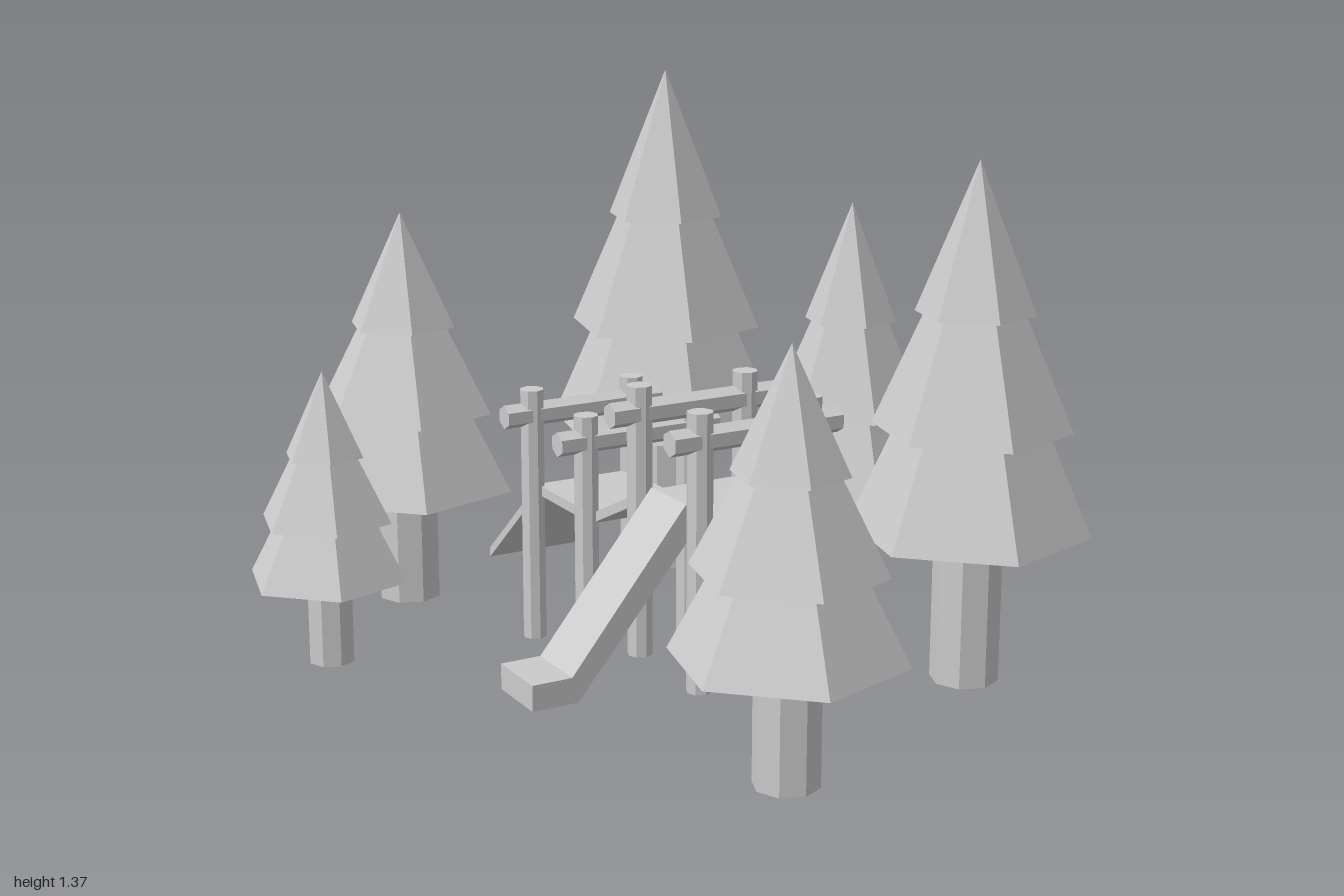
import * as THREE from 'three';

const material = new THREE.MeshStandardMaterial({ color: 0xcccccc, flatShading: true });

function part(name, geometry, x = 0, y = 0, z = 0) {
  const mesh = new THREE.Mesh(geometry, material);
  mesh.name = name;
  mesh.position.set(x, y, z);
  return mesh;
}

// Side profile extruded to a given width, centred on z
function slab(name, points, width) {
  const shape = new THREE.Shape(points.map(([x, y]) => new THREE.Vector2(x, y)));
  const geometry = new THREE.ExtrudeGeometry(shape, { depth: width, bevelEnabled: false });
  return part(name, geometry.translate(0, 0, -width / 2));
}

// Three-tiered hexagonal conifer on an octagonal trunk
function makeTree({ x, z, radius, top, base, foot, trunk }) {
  const tree = new THREE.Group();
  tree.name = 'tree';
  tree.position.set(x, 0, z);
  const height = top - base;
  // [bottom height, top height, bottom radius, top radius] as fractions
  const tiers = [[0, 0.283, 1, 0.62], [0.283, 0.594, 0.82, 0.41], [0.594, 1, 0.49, 0]];
  for (const [y0, y1, r0, r1] of tiers) {
    const h = (y1 - y0) * height;
    const geometry = new THREE.CylinderGeometry(r1 * radius, r0 * radius, h, 6).rotateY(Math.PI / 6);
    tree.add(part('foliageTier', geometry, 0, base + y0 * height + h / 2, 0));
  }
  const trunkHeight = base - foot;
  tree.add(part('trunk', new THREE.CylinderGeometry(trunk, trunk, trunkHeight, 8), 0, foot + trunkHeight / 2, 0));
  return tree;
}

// Playground: local x runs along the platforms, local z points down the slide
function makePlayground() {
  const playground = new THREE.Group();
  playground.name = 'playground';
  playground.position.set(-0.003, 0, 0.014);
  playground.rotation.y = -THREE.MathUtils.degToRad(46.4);

  // Post frames with a crossbar, two low and two raised
  const frames = [[-0.408, 0], [-0.123, 0], [0.138, 0.13], [0.408, 0.13]];
  for (const [x, lift] of frames) {
    for (const side of [-1, 1]) {
      playground.add(part('post', new THREE.CylinderGeometry(0.03, 0.03, 0.64, 8), x, lift + 0.32, side * 0.139));
    }
    const bar = new THREE.CylinderGeometry(0.03, 0.03, 0.43, 6).rotateX(Math.PI / 2);
    playground.add(part('crossbar', bar, x, lift + 0.577, 0));
  }

  // Platforms and the ramps joining them
  const low = 0.395, high = 0.52, t = 0.025, width = 0.255;
  const decks = [
    ['lowPlatform', -0.408, low, -0.123, low],
    ['linkRamp', -0.123, low, 0.138, high],
    ['highPlatform', 0.138, high, 0.408, high],
    ['entryRamp', -0.69, 0.15, -0.408, low],
  ];
  for (const [name, x0, y0, x1, y1] of decks) {
    playground.add(slab(name, [[x0, y0 - t], [x1, y1 - t], [x1, y1], [x0, y0]], width));
  }

  // Slide with a flat run-out, and a steep climbing board opposite
  const slide = slab('slide', [
    [-0.11, 0.49], [-0.14, 0.545], [-0.424, 0.195], [-0.521, 0.195], [-0.521, 0.135], [-0.41, 0.135],
  ].map(([x, y]) => [-x, y]), 0.155);
  const board = slab('climbingBoard', [[-0.125, 0.52], [-0.1, 0.5], [-0.225, 0.13], [-0.255, 0.13]], 0.155);
  for (const mesh of [slide, board]) {
    mesh.rotation.y = -Math.PI / 2;
    mesh.position.x = 0.272;
    playground.add(mesh);
  }
  return playground;
}

export function createModel() {
  const model = new THREE.Group();
  model.name = 'forestPlayground';
  const trees = [
    { x: -0.175, z: -0.695, radius: 0.305, top: 1.37, base: 0.446, foot: 0.055, trunk: 0.087 },
    { x: 0.715, z: 0, radius: 0.28, top: 1.275, base: 0.42, foot: 0.06, trunk: 0.08 },
    { x: -0.725, z: -0.21, radius: 0.275, top: 1.06, base: 0.365, foot: 0.075, trunk: 0.079 },
    { x: 0.348, z: -0.505, radius: 0.233, top: 1.08, base: 0.354, foot: 0.07, trunk: 0.067 },
    { x: 0.44, z: 0.735, radius: 0.255, top: 1.01, base: 0.352, foot: 0.075, trunk: 0.073 },
    { x: -0.725, z: 0.32, radius: 0.193, top: 0.785, base: 0.295, foot: 0.09, trunk: 0.055 },
  ];
  trees.forEach((tree) => model.add(makeTree(tree)));
  model.add(makePlayground());
  return model;
}
